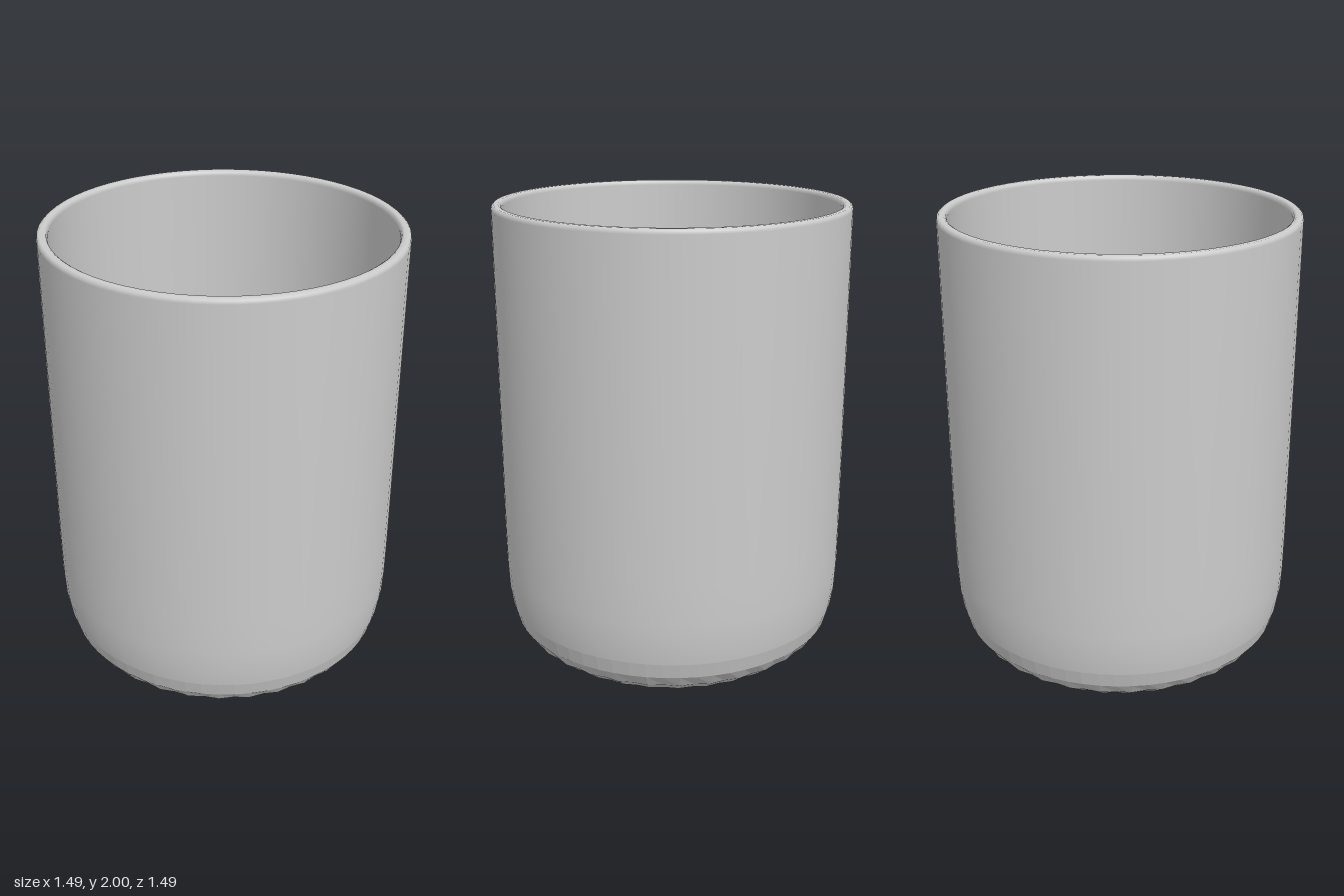
import * as THREE from 'three';

const SEGMENTS = 64;
const material = (flatShading = false) =>
  new THREE.MeshStandardMaterial({ color: 0xcccccc, flatShading });

function lathe(name, points, segments, flat = false) {
  const profile = points.map(([r, y]) => new THREE.Vector2(r, y));
  const mesh = new THREE.Mesh(new THREE.LatheGeometry(profile, segments), material(flat));
  mesh.name = name;
  return mesh;
}

export function createModel() {
  const group = new THREE.Group();
  group.name = 'jarCandle';

  // Faceted, gently bowed underside with a scalloped lower edge
  const base = lathe('jarBase', [
    [0, 0], [0.3, 0.02], [0.5, 0.035], [0.6, 0.06], [0.665, 0.11], [0.705, 0.17], [0.725, 0.24],
  ], SEGMENTS, true);
  const position = base.geometry.attributes.position;
  const rings = 7;
  for (let i = 0; i < position.count; i++) {
    const ring = i % rings;
    const segment = Math.floor(i / rings);
    if ((ring === 3 || ring === 4) && segment % 2) {
      position.setX(i, position.getX(i) * 0.985);
      position.setZ(i, position.getZ(i) * 0.985);
    }
  }
  group.add(base);

  // Outer wall, rounded rim and inner wall down to the inside floor
  group.add(lathe('jarWall', [
    [0.725, 0.24], [0.738, 0.32], [0.743, 0.42], [0.745, 0.6], [0.745, 1.98],
    [0.742, 1.993], [0.733, 2], [0.714, 2], [0.705, 1.994], [0.701, 1.98],
    [0.701, 0.6], [0.698, 0.42], [0.685, 0.27], [0.66, 0.19], [0.58, 0.11], [0.4, 0.075], [0, 0.06],
  ], SEGMENTS));

  // Wax filling with a bevelled top edge and a narrow gap to the jar
  group.add(lathe('wax', [
    [0, 0.08], [0.4, 0.09], [0.57, 0.13], [0.64, 0.2], [0.666, 0.3],
    [0.666, 1.03], [0.66, 1.042], [0.645, 1.05], [0, 1.05],
  ], 36, true));

  // Short wick with a rounded tip
  const wick = new THREE.Mesh(new THREE.CapsuleGeometry(0.027, 0.2, 4, 10), material());
  wick.name = 'wick';
  wick.position.y = 1.12;
  group.add(wick);

  return group;
}
